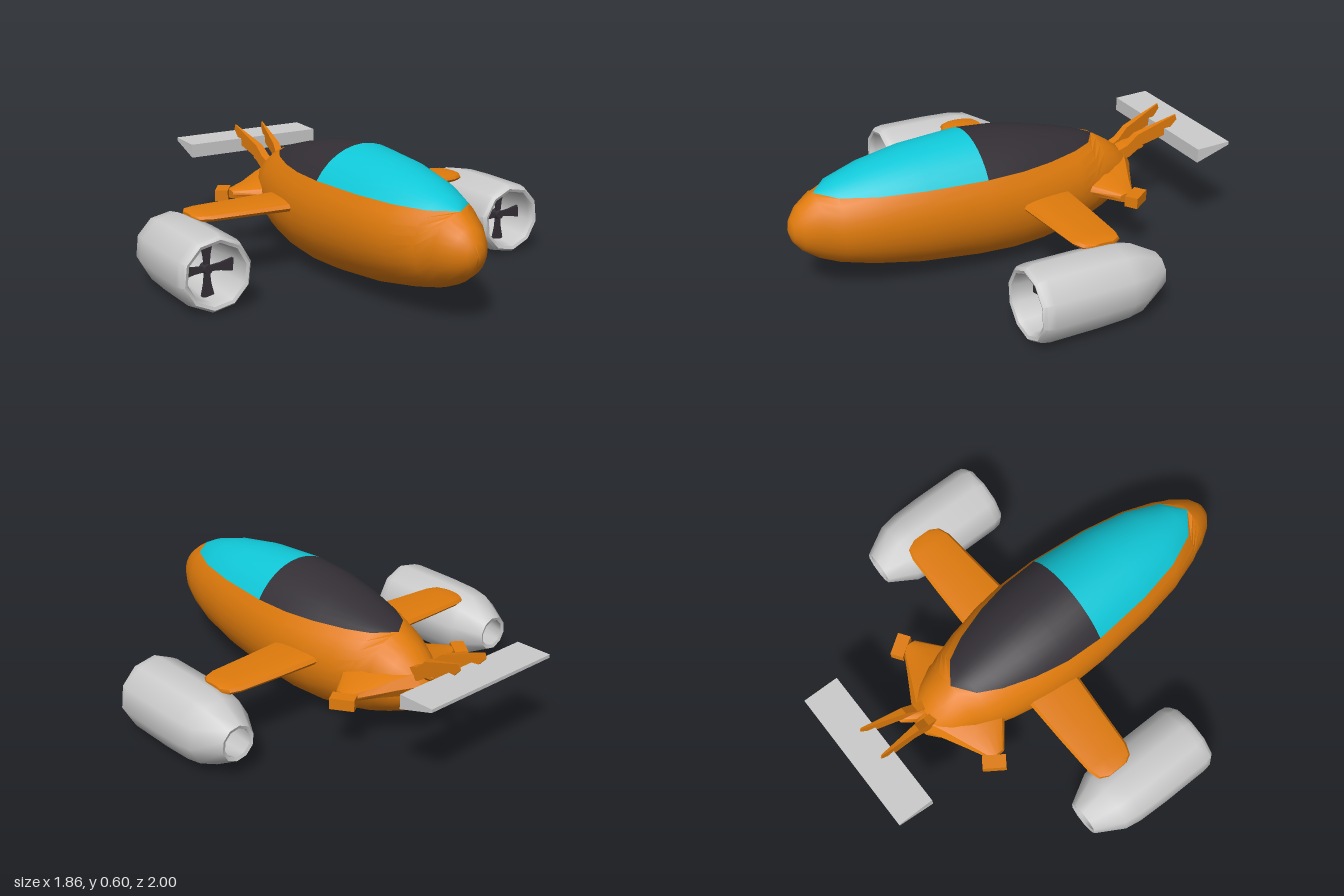
import * as THREE from 'three';
import { toCreasedNormals } from 'three/addons/utils/BufferGeometryUtils.js';

const paint = (color) => new THREE.MeshStandardMaterial({ color, side: THREE.DoubleSide });
const ORANGE = paint(0xe07b0c);
const GLASS = paint(0x10c8d8);
const DARK = paint(0x332f35);
const GREY = paint(0xcccccc);

function part(name, geometry, material) {
  const mesh = new THREE.Mesh(geometry, material);
  mesh.name = name;
  return mesh;
}

// Skin between rings of [x, y, z] points; closed rings get end caps.
function loft(rings, closed, crease = 0.7) {
  if (closed) {
    const shrink = (ring) => {
      const mid = [0, 1, 2].map((k) => ring.reduce((sum, p) => sum + p[k], 0) / ring.length);
      return ring.map(() => mid);
    };
    rings = [shrink(rings[0]), ...rings, shrink(rings[rings.length - 1])];
  }
  const n = rings[0].length;
  const pos = [];
  const tri = (...corners) => {
    const [a, b, c] = corners.map((p) => new THREE.Vector3(...p));
    if (b.clone().sub(a).cross(c.clone().sub(a)).length() > 1e-9) pos.push(...corners.flat());
  };
  for (let i = 0; i < rings.length - 1; i++) {
    for (let j = 0; j < (closed ? n : n - 1); j++) {
      const k = (j + 1) % n;
      tri(rings[i][j], rings[i + 1][j], rings[i + 1][k]);
      tri(rings[i][j], rings[i + 1][k], rings[i][k]);
    }
  }
  const geometry = new THREE.BufferGeometry();
  geometry.setAttribute('position', new THREE.Float32BufferAttribute(pos, 3));
  return toCreasedNormals(geometry, crease);
}

// Hull stations: z, half width, top, bottom
const HULL = [
  [1, 0.005, 0.33, 0.32], [0.985, 0.045, 0.375, 0.27], [0.95, 0.085, 0.425, 0.225],
  [0.88, 0.13, 0.475, 0.175], [0.8, 0.165, 0.515, 0.14], [0.65, 0.215, 0.56, 0.1],
  [0.45, 0.25, 0.595, 0.06], [0.175, 0.276, 0.612, 0.03], [0, 0.278, 0.597, 0.022],
  [-0.15, 0.262, 0.568, 0.03], [-0.3, 0.232, 0.53, 0.055], [-0.4, 0.202, 0.5, 0.08],
  [-0.47, 0.178, 0.475, 0.105], [-0.55, 0.142, 0.425, 0.14], [-0.62, 0.1, 0.37, 0.185],
  [-0.66, 0.055, 0.32, 0.23], [-0.672, 0.005, 0.28, 0.27],
];
const SILL = 0.475;

// Upper or lower arc of one hull section, split at the canopy sill
function hullArc([z, rx, top, bottom], upper) {
  const cy = (top + bottom) / 2, ry = (top - bottom) / 2;
  const cut = Math.asin(Math.min(1, (SILL - cy) / ry));
  const from = upper ? cut : Math.PI - cut;
  const to = upper ? Math.PI - cut : 2 * Math.PI + cut;
  const steps = upper ? 12 : 24;
  return Array.from({ length: steps + 1 }, (_, i) => {
    const a = from + ((to - from) * i) / steps;
    return [rx * Math.cos(a), cy + ry * Math.sin(a), z];
  });
}

// Wing-like solid from sections: x, front z, back z, centre y, half thickness
function foil(sections, sides = 14) {
  return loft(sections.map(([x, front, back, y, t]) =>
    Array.from({ length: sides }, (_, i) => {
      const a = (i / sides) * 2 * Math.PI;
      const s = Math.sin(a);
      return [x, y + t * Math.sign(s) * Math.sqrt(Math.abs(s)),
        (front + back) / 2 + ((front - back) / 2) * Math.cos(a)];
    })), true);
}

function createNacelle() {
  const nacelle = new THREE.Group();
  nacelle.name = 'enginePod';
  nacelle.position.set(0.763, 0.175, 0);

  // Hollow duct: outside from back to front, then the inside back again
  const profile = [
    [0.065, -0.335], [0.08, -0.34], [0.15, -0.215], [0.163, -0.14], [0.168, 0], [0.168, 0.23],
    [0.162, 0.265], [0.15, 0.28], [0.136, 0.275], [0.127, 0.25], [0.122, 0.12],
    [0.095, -0.15], [0.065, -0.335],
  ].map(([r, z]) => new THREE.Vector2(r, z));
  const duct = new THREE.LatheGeometry(profile, 10, 0.12).rotateX(Math.PI / 2);
  nacelle.add(part('duct', toCreasedNormals(duct, 0.7), GREY));

  // Four-bladed fan
  const blade = new THREE.Shape([
    [-0.012, 0.015], [0.012, 0.015], [0.016, 0.06], [0.03, 0.122], [-0.03, 0.122], [-0.016, 0.06],
  ].map(([x, y]) => new THREE.Vector2(x, y)));
  const bladeGeometry = new THREE.ExtrudeGeometry(blade, { depth: 0.012, bevelEnabled: false });
  for (let i = 0; i < 4; i++) {
    const mesh = part('fanBlade', bladeGeometry, DARK);
    mesh.rotation.z = (i * Math.PI) / 2;
    mesh.position.z = 0.17;
    nacelle.add(mesh);
  }
  const hub = part('fanHub', new THREE.CylinderGeometry(0.02, 0.026, 0.04, 10).rotateX(Math.PI / 2), DARK);
  hub.position.z = 0.175;
  nacelle.add(hub);
  return nacelle;
}

// Everything on the +x side; mirrored for the other
function createSide(name) {
  const side = new THREE.Group();
  side.name = name;

  side.add(part('wing', foil([
    [0.15, 0.045, -0.225, 0.322, 0.026], [0.27, 0.025, -0.225, 0.322, 0.024],
    [0.45, 0.01, -0.222, 0.322, 0.021], [0.64, -0.005, -0.215, 0.322, 0.019],
    [0.69, -0.025, -0.2, 0.322, 0.017], [0.71, -0.06, -0.16, 0.322, 0.012],
  ]), ORANGE));
  side.add(createNacelle());

  // Rear stabiliser swelling out of the hull, with a block at its tip
  side.add(part('stabiliser', foil([
    [0.05, -0.22, -0.655, 0.305, 0.07], [0.13, -0.27, -0.61, 0.3, 0.055],
    [0.22, -0.35, -0.56, 0.29, 0.032], [0.325, -0.435, -0.505, 0.283, 0.02],
  ], 12), ORANGE));
  const tip = part('stabiliserTip', new THREE.BoxGeometry(0.06, 0.05, 0.105), ORANGE);
  tip.position.set(0.344, 0.281, -0.505);
  tip.rotation.y = 0.6;
  side.add(tip);

  // Tail strut leaning outwards as it rises to the spoiler
  const outline = new THREE.Shape([
    [0.58, 0.37], [0.64, 0.395], [0.69, 0.44], [0.885, 0.51], [0.893, 0.485],
    [0.83, 0.415], [0.72, 0.385], [0.65, 0.335], [0.6, 0.32],
  ].map(([z, y]) => new THREE.Vector2(z, y)));
  const strut = new THREE.ExtrudeGeometry(outline, { depth: 1, bevelEnabled: false });
  const p = strut.attributes.position;
  for (let i = 0; i < p.count; i++) {
    const back = p.getX(i), y = p.getY(i);
    const t = (back - 0.6) / 0.29;
    const width = THREE.MathUtils.lerp(0.045, 0.006, Math.min(1, Math.max(0, t)));
    p.setXYZ(i, 0.035 + 0.04 * t + (p.getZ(i) - 0.5) * width, y, -back);
  }
  strut.computeVertexNormals();
  side.add(part('tailStrut', strut, ORANGE));

  // Small flared foot beside the strut
  side.add(part('strutFoot', foil([
    [0, -0.6, -0.67, 0.345, 0.035], [0.035, -0.61, -0.725, 0.365, 0.022], [0.06, -0.64, -0.73, 0.375, 0.01],
  ], 8), ORANGE));
  return side;
}

export function createModel() {
  const model = new THREE.Group();
  model.name = 'flyingCar';

  // Hull and canopy
  model.add(part('hull', loft(HULL.map((s) => hullArc(s, false)), false), ORANGE));
  const canopy = (z0, z1) => loft(
    HULL.filter(([z]) => z <= z0 && z >= z1).map((s) => hullArc(s, true)), false);
  model.add(part('windscreen', canopy(0.88, 0.175), GLASS));
  model.add(part('rearCanopy', canopy(0.175, -0.47), DARK));

  // Both sides
  const left = createSide('leftSide');
  const right = createSide('rightSide');
  right.scale.x = -1;
  model.add(left, right);

  // Wedge-shaped spoiler
  const wedge = new THREE.Shape([
    [0.83, 0.385], [1, 0.44], [1, 0.455], [0.83, 0.45],
  ].map(([z, y]) => new THREE.Vector2(z, y)));
  const spoiler = new THREE.ExtrudeGeometry(wedge, { depth: 0.69, bevelEnabled: false });
  spoiler.translate(0, 0, -0.345).rotateY(Math.PI / 2);
  model.add(part('spoiler', spoiler, GREY));

  return model;
}
